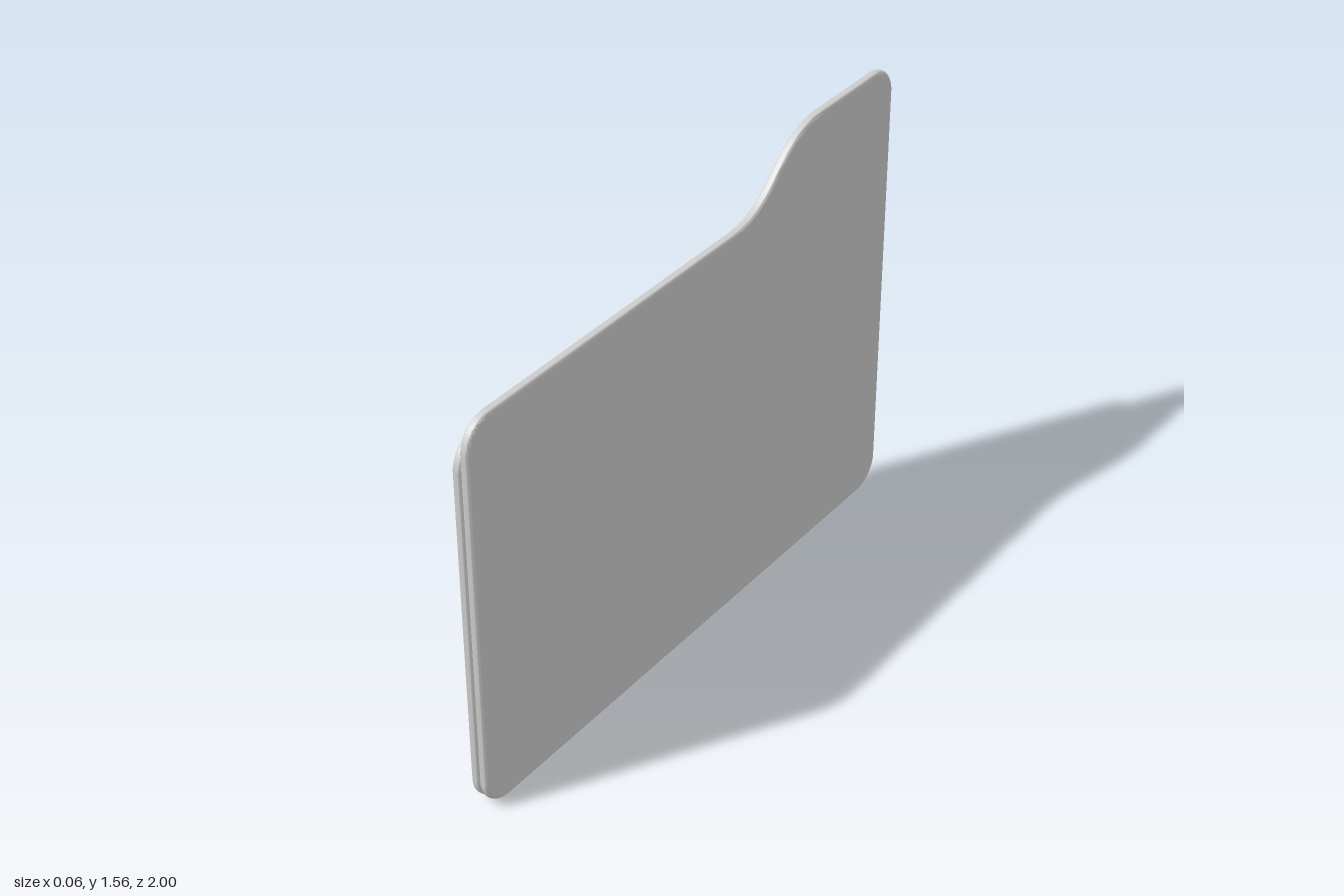
import * as THREE from 'three';
import { toCreasedNormals } from 'three/addons/utils/BufferGeometryUtils.js';

const THICK = 0.03, BEVEL = 0.0145, R = 0.1;

// Outline drawn with u = -z (horizontal) and v = y, counter-clockwise
function panelShape(height, tabHeight = height) {
  const s = new THREE.Shape();
  s.absarc(-1 + R, R, R, Math.PI, Math.PI * 1.5);
  s.absarc(1 - R, R, R, Math.PI * 1.5, Math.PI * 2);
  s.absarc(1 - R, tabHeight - R, R, 0, Math.PI / 2);
  if (tabHeight > height) {
    // S-curve from the tab down to the lower edge
    s.lineTo(0.62, tabHeight);
    s.bezierCurveTo(0.4, tabHeight, 0.4, height, 0.18, height);
  }
  s.absarc(-1 + R, height - R, R, Math.PI / 2, Math.PI);
  s.closePath();
  return s;
}

// Thin sheet with a rounded rim, standing in the yz plane
function makePanel(name, shape, x, material) {
  const depth = THICK - 2 * BEVEL;
  let geo = new THREE.ExtrudeGeometry(shape, {
    depth, curveSegments: 14, bevelEnabled: true, bevelSegments: 6,
    bevelSize: BEVEL, bevelThickness: BEVEL, bevelOffset: -BEVEL,
  });
  geo = toCreasedNormals(geo, 1);
  // keep the broad faces perfectly flat where they meet the rounded rim
  const pos = geo.attributes.position, nor = geo.attributes.normal;
  for (let i = 0; i < pos.count; i++) {
    const d = pos.getZ(i) - depth / 2;
    if (Math.abs(d) > THICK / 2 - 1e-5) nor.setXYZ(i, 0, 0, Math.sign(d));
  }
  geo.translate(0, 0, -depth / 2);
  geo.rotateY(Math.PI / 2);
  const mesh = new THREE.Mesh(geo, material);
  mesh.name = name;
  mesh.position.x = x;
  return mesh;
}

export function createModel() {
  const group = new THREE.Group();
  group.name = 'folder';
  const material = new THREE.MeshStandardMaterial({ color: 0xcccccc });
  group.add(makePanel('tabbedPanel', panelShape(1.347, 1.557), THICK / 2, material));
  group.add(makePanel('plainPanel', panelShape(1.28), -THICK / 2, material));
  return group;
}
